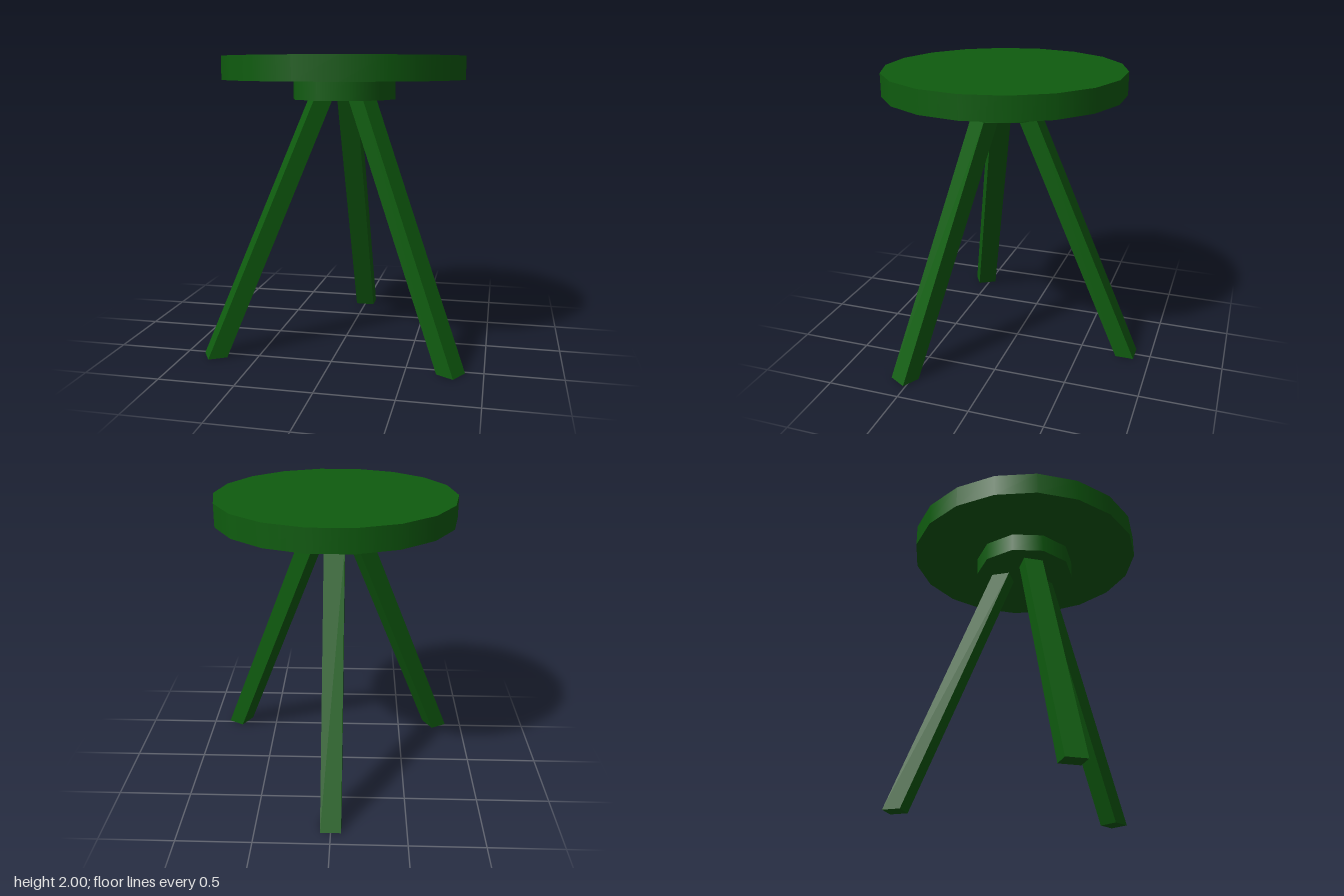
import * as THREE from 'three';

const green = new THREE.MeshStandardMaterial({ color: 0x0f5c0f });

// Upright disc between two heights, with a corner on the x axis
function disc(name, radius, y0, y1, sides) {
  const geometry = new THREE.CylinderGeometry(radius, radius, y1 - y0, sides, 1, false, Math.PI / 2);
  geometry.translate(0, (y0 + y1) / 2, 0);
  const mesh = new THREE.Mesh(geometry, green);
  mesh.name = name;
  return mesh;
}

// Box sheared outwards so that both ends stay level
function splayedLeg(name, angle) {
  const height = 1.72, topReach = 0.164, footReach = 0.914;
  const geometry = new THREE.BoxGeometry(0.138, height, 0.128);
  geometry.translate(0, height / 2, 0);
  const p = geometry.attributes.position;
  for (let i = 0; i < p.count; i++) {
    const t = p.getY(i) / height;
    p.setZ(i, p.getZ(i) - THREE.MathUtils.lerp(footReach, topReach, t));
  }
  geometry.computeVertexNormals();
  const mesh = new THREE.Mesh(geometry, green);
  mesh.name = name;
  mesh.rotation.y = angle;
  return mesh;
}

export function createModel() {
  const stool = new THREE.Group();
  stool.name = 'stool';

  // Seat and the smaller block beneath it
  stool.add(disc('seat', 0.815, 1.845, 2, 18));
  stool.add(disc('seatBlock', 0.352, 1.715, 1.845, 10));

  // Three legs, evenly spaced, the first at the back
  ['backLeg', 'frontRightLeg', 'frontLeftLeg'].forEach((name, i) => {
    stool.add(splayedLeg(name, (i * Math.PI * 2) / 3));
  });

  // Offset that centres the whole footprint
  stool.position.z = 0.088;
  const model = new THREE.Group();
  model.add(stool);
  return model;
}
